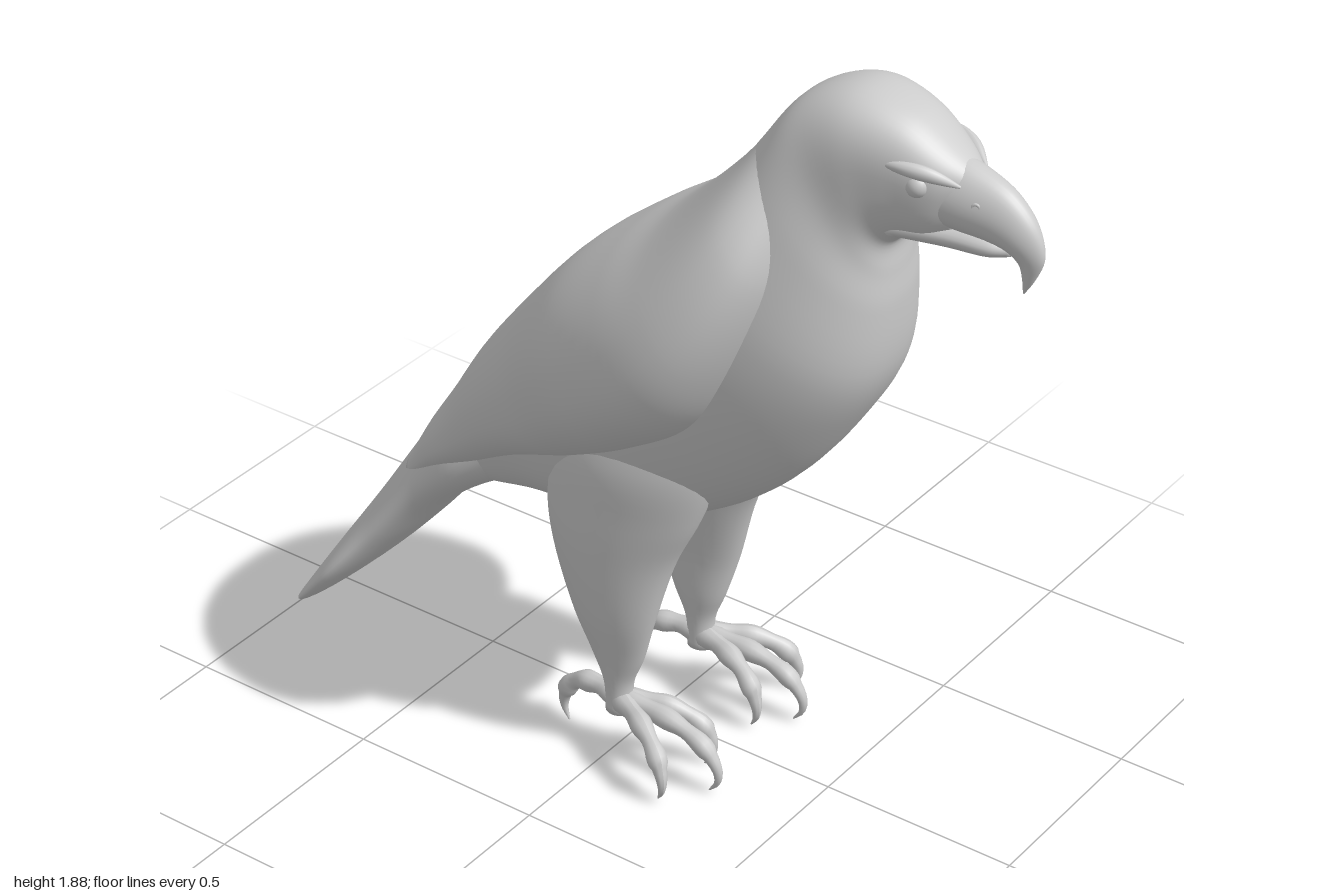
import * as THREE from 'three';

const material = new THREE.MeshStandardMaterial({ color: 0xcccccc, roughness: 0.8, side: THREE.DoubleSide });

function addMesh(parent, name, geometry) {
  const mesh = new THREE.Mesh(geometry, material);
  mesh.name = name;
  parent.add(mesh);
  return mesh;
}

// Smooth skin over rings. Each ring: [z1, y1, z2, y2, halfWidth, centreX],
// where 1 and 2 are its two ends in the side plane.
// power < 1 makes rings boxier; skew moves the widest point towards end 2.
function loft(rings, { steps = 48, sides = 40, power = 1, skew = 0 } = {}) {
  const ends1 = new THREE.CatmullRomCurve3(rings.map(r => new THREE.Vector3(r[4], r[1], r[0])));
  const ends2 = new THREE.CatmullRomCurve3(rings.map(r => new THREE.Vector3(r[5] || 0, r[3], r[2])));
  const bend = v => Math.sign(v) * Math.abs(v) ** power;
  const positions = [], index = [];
  for (let i = 0; i <= steps; i++) {
    const a = ends1.getPoint(i / steps), b = ends2.getPoint(i / steps);
    for (let j = 0; j < sides; j++) {
      const t = (j / sides) * Math.PI * 2;
      const c = bend(Math.cos(t)), s = bend(Math.sin(t));
      positions.push(
        b.x + Math.max(a.x, 0.001) * s * (1 - skew * c),
        (a.y + b.y) / 2 + (a.y - b.y) / 2 * c,
        (a.z + b.z) / 2 + (a.z - b.z) / 2 * c);
      if (i < steps) {
        const p = i * sides + j, q = i * sides + (j + 1) % sides;
        index.push(p, q, p + sides, q, q + sides, p + sides);
      }
    }
  }
  // end caps
  for (const [t, row] of [[0, 0], [1, steps]]) {
    const a = ends1.getPoint(t), b = ends2.getPoint(t), centre = positions.length / 3;
    positions.push(b.x, (a.y + b.y) / 2, (a.z + b.z) / 2);
    for (let j = 0; j < sides; j++) {
      const p = row * sides + j, q = row * sides + (j + 1) % sides;
      index.push(centre, ...(t ? [p, q] : [q, p]));
    }
  }
  const geometry = new THREE.BufferGeometry();
  geometry.setAttribute('position', new THREE.Float32BufferAttribute(positions, 3));
  geometry.setIndex(index);
  geometry.computeVertexNormals();
  return geometry;
}

// Tube whose radius follows radiusAt(t)
function taperedTube(points, radiusAt, steps = 28, sides = 12) {
  const curve = new THREE.CatmullRomCurve3(points.map(p => new THREE.Vector3(...p)));
  const geometry = new THREE.TubeGeometry(curve, steps, 1, sides);
  const pos = geometry.attributes.position, v = new THREE.Vector3();
  for (let i = 0; i < pos.count; i++) {
    const t = Math.floor(i / (sides + 1)) / steps;
    const centre = curve.getPointAt(t);
    v.fromBufferAttribute(pos, i).sub(centre).multiplyScalar(radiusAt(t)).add(centre);
    pos.setXYZ(i, v.x, v.y, v.z);
  }
  geometry.computeVertexNormals();
  return geometry;
}

// Toe with knuckle swellings and a thin hooked claw
const toeRadius = t => t < 0.68
  ? 0.027 - 0.008 * t + 0.003 * Math.sin(t * 22)
  : 0.002 + 0.018 * (1 - (t - 0.68) / 0.32);

function createLeg(side) {
  const leg = new THREE.Group();
  leg.name = side > 0 ? 'leftLeg' : 'rightLeg';
  const x = 0.165 * side;

  // feathered thigh narrowing to the ankle
  addMesh(leg, 'thigh', loft([
    [0.05, 0.12, -0.02, 0.12, 0.033, x],
    [0.05, 0.20, -0.025, 0.20, 0.034, x],
    [0.08, 0.28, -0.06, 0.28, 0.046, x],
    [0.115, 0.40, -0.11, 0.40, 0.064, 0.172 * side],
    [0.165, 0.58, -0.172, 0.575, 0.09, 0.16 * side],
    [0.225, 0.71, -0.19, 0.69, 0.098, 0.15 * side],
    [0.27, 0.85, -0.17, 0.82, 0.10, 0.138 * side],
    [0.28, 1.02, -0.10, 0.97, 0.06, 0.12 * side],
  ], { steps: 36, sides: 28 }));

  // three front toes and one hind toe: [sideways spread, forward reach]
  const toes = { innerToe: [-0.075, 0.23], middleToe: [0.01, 0.305], outerToe: [0.115, 0.22], hindToe: [-0.02, -0.165] };
  for (const [name, [spread, reach]] of Object.entries(toes)) {
    const at = (f, y) => [x + side * spread * Math.min(f, 1), y, 0.015 + (reach - 0.015) * f];
    addMesh(leg, name, taperedTube([
      at(0, 0.15), at(0.35, 0.155), at(0.68, 0.142), at(0.88, 0.115),
      at(1, 0.07), at(1.0, 0.035), at(0.92, 0.004),
    ], toeRadius));
  }
  return leg;
}

export function createModel() {
  const bird = new THREE.Group();
  bird.name = 'birdOfPrey';

  // head, neck, breast and belly
  addMesh(bird, 'body', loft([
    [0.83, 1.755, 0.79, 1.60, 0.052],
    [0.78, 1.795, 0.74, 1.575, 0.088],
    [0.68, 1.86, 0.68, 1.56, 0.118],
    [0.55, 1.885, 0.645, 1.53, 0.142],
    [0.42, 1.83, 0.645, 1.46, 0.16],
    [0.32, 1.70, 0.65, 1.37, 0.20],
    [0.18, 1.49, 0.63, 1.19, 0.255],
    [0.05, 1.37, 0.54, 1.02, 0.275],
    [-0.10, 1.22, 0.40, 0.84, 0.262],
    [-0.25, 1.05, 0.20, 0.69, 0.23],
    [-0.38, 0.90, -0.05, 0.60, 0.20],
    [-0.48, 0.79, -0.25, 0.575, 0.17],
    [-0.56, 0.67, -0.40, 0.545, 0.14],
    [-0.60, 0.60, -0.50, 0.52, 0.09],
  ], { steps: 80, sides: 56, power: 0.83, skew: -0.12 }));

  // folded wings meeting over the back and sinking into the tail
  addMesh(bird, 'foldedWings', loft([
    [0.37, 1.765, 0.50, 1.57, 0.155],
    [0.27, 1.635, 0.48, 1.40, 0.285],
    [0.12, 1.485, 0.40, 1.18, 0.372],
    [0.0, 1.40, 0.30, 1.02, 0.395],
    [-0.15, 1.28, 0.12, 0.89, 0.373],
    [-0.30, 1.11, -0.06, 0.79, 0.31],
    [-0.42, 0.955, -0.25, 0.71, 0.258],
    [-0.51, 0.81, -0.40, 0.63, 0.215],
    [-0.58, 0.70, -0.51, 0.57, 0.187],
    [-0.66, 0.56, -0.62, 0.49, 0.14],
  ], { steps: 72, sides: 56, power: 0.88, skew: 0.1 }));

  // tail fan with drooping edges
  addMesh(bird, 'tail', loft([
    [-0.45, 0.86, -0.36, 0.57, 0.15],
    [-0.55, 0.745, -0.45, 0.52, 0.172],
    [-0.65, 0.60, -0.57, 0.425, 0.175],
    [-0.76, 0.425, -0.69, 0.29, 0.205],
    [-0.87, 0.25, -0.81, 0.16, 0.248],
    [-0.95, 0.12, -0.91, 0.07, 0.222],
    [-0.985, 0.065, -0.965, 0.04, 0.165],
    [-1.0, 0.042, -0.99, 0.032, 0.09],
  ], { sides: 48, skew: 0.32 }));

  // hooked upper beak and lower jaw
  addMesh(bird, 'upperBeak', loft([
    [0.957, 1.503, 0.953, 1.503, 0.002],
    [0.982, 1.545, 0.95, 1.54, 0.012],
    [1.0, 1.60, 0.942, 1.573, 0.023],
    [0.977, 1.67, 0.92, 1.595, 0.039],
    [0.92, 1.73, 0.88, 1.606, 0.052],
    [0.84, 1.765, 0.80, 1.612, 0.068],
    [0.74, 1.79, 0.70, 1.62, 0.08],
  ], { steps: 36, sides: 32, skew: 0.15 }));
  addMesh(bird, 'lowerJaw', loft([
    [0.925, 1.602, 0.92, 1.58, 0.012],
    [0.88, 1.617, 0.88, 1.57, 0.037],
    [0.78, 1.63, 0.78, 1.565, 0.056],
    [0.66, 1.64, 0.66, 1.56, 0.09],
  ], { steps: 20, sides: 24 }));

  for (const side of [1, -1]) {
    const prefix = side > 0 ? 'left' : 'right';
    // eye beneath a slanting brow
    const eye = addMesh(bird, prefix + 'Eye', new THREE.SphereGeometry(0.028, 20, 14));
    eye.position.set(0.084 * side, 1.728, 0.735);
    addMesh(bird, prefix + 'Brow', taperedTube([
      [0.113 * side, 1.768, 0.65], [0.107 * side, 1.77, 0.70],
      [0.085 * side, 1.76, 0.765], [0.052 * side, 1.735, 0.82],
    ], t => 0.003 + 0.014 * Math.sin(Math.PI * t)));
    // nostril rim
    const nostril = addMesh(bird, prefix + 'Nostril', new THREE.TorusGeometry(0.008, 0.004, 8, 14));
    nostril.position.set(0.053 * side, 1.70, 0.86);
    nostril.rotation.y = side * 1.3;
    bird.add(createLeg(side));
  }
  return bird;
}
